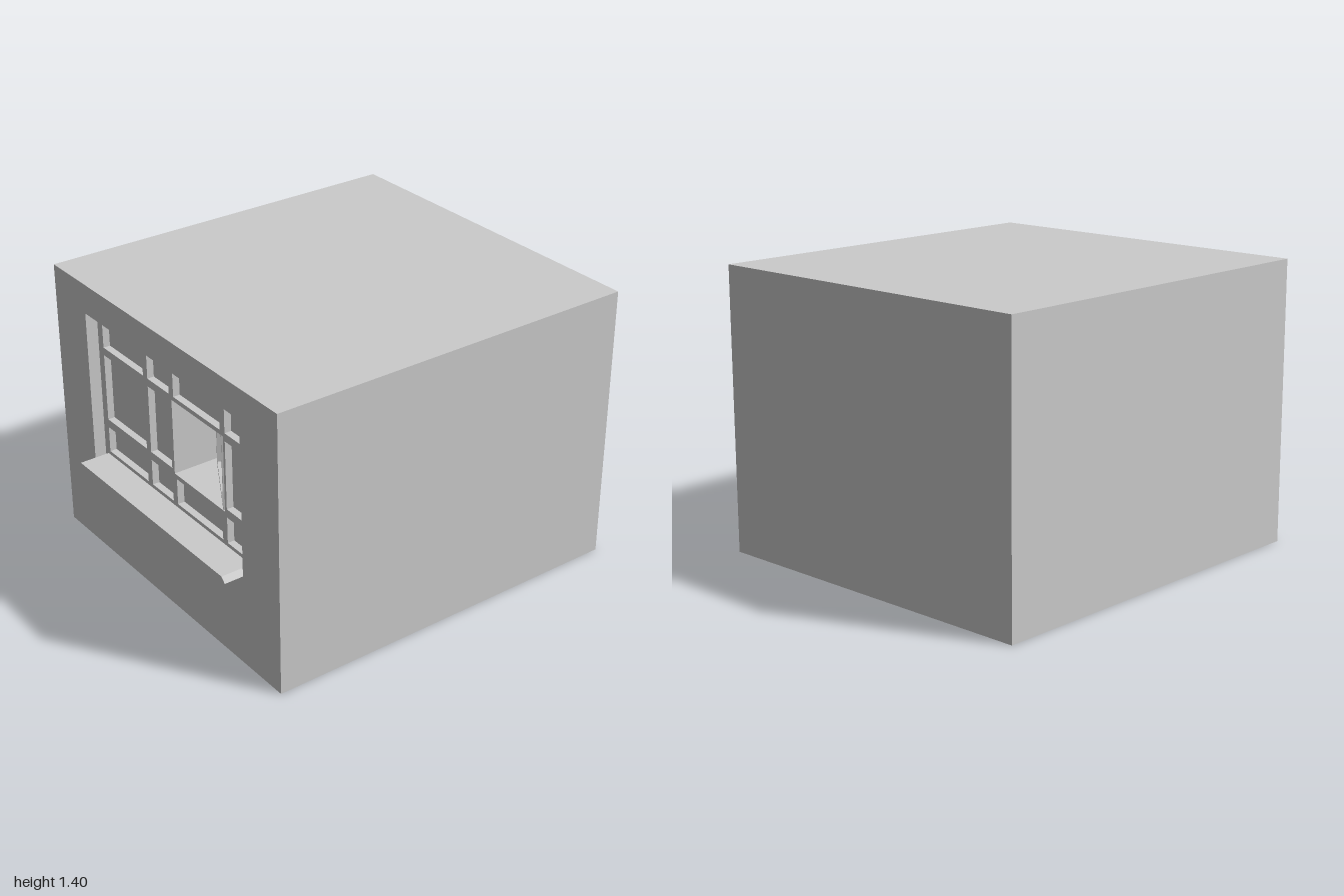
import * as THREE from 'three';

const material = new THREE.MeshStandardMaterial({ color: 0xcccccc, flatShading: true });

function add(parent, name, geometry) {
  const mesh = new THREE.Mesh(geometry, material);
  mesh.name = name;
  parent.add(mesh);
  return mesh;
}

// Rectangles are [x0, x1, y0, y1]
function trace(path, [x0, x1, y0, y1]) {
  return path.moveTo(x0, y0).lineTo(x1, y0).lineTo(x1, y1).lineTo(x0, y1).closePath();
}

// Flat face towards +z with rectangular holes
function face(rect, holes, z) {
  const shape = trace(new THREE.Shape(), rect);
  shape.holes = holes.map((h) => trace(new THREE.Path(), h));
  return new THREE.ShapeGeometry(shape).translate(0, 0, z);
}

// Box without its front; inward turns it into a recess, back closes it
function openBox([x0, x1, y0, y1], zBack, zFront, inward = false, back = true) {
  const g = new THREE.BoxGeometry(x1 - x0, y1 - y0, zFront - zBack);
  const index = Array.from(g.index.array);
  const kept = [...index.slice(0, 24), ...(back ? index.slice(30) : [])];
  g.clearGroups();
  g.setIndex(inward ? kept.reverse() : kept);
  if (inward) g.attributes.normal.array.forEach((v, i, a) => { a[i] = -v; });
  return g.translate((x0 + x1) / 2, (y0 + y1) / 2, (zBack + zFront) / 2);
}

export function createModel() {
  const model = new THREE.Group();
  model.name = 'windowBlock';

  const wallZ = 0.905, frameZ = 0.845, glassZ = 0.81;
  const body = [-0.9, 0.9, 0, 1.4];
  const opening = [-0.628, 0.625, 0.47, 1.25];
  const hole = [0, 0.408, 0.668, 1.05];

  // Block with the window opening in its front wall
  add(model, 'block', openBox(body, -1, wallZ));
  add(model, 'frontWall', face(body, [opening], wallZ));
  add(model, 'openingReveal', openBox(opening, frameZ, wallZ, true, false));

  // Grid of panes; the one at column 2, row 1 is an open casement
  const columns = [[-0.585, -0.237], [-0.2, -0.02], [0.016, 0.386], [0.422, 0.575]];
  const rows = [[0.512, 0.645], [0.688, 1.032], [1.072, 1.208]];
  const panes = [];
  columns.forEach((c, i) => rows.forEach((r, j) => {
    if (i !== 2 || j !== 1) panes.push([...c, ...r]);
  }));
  add(model, 'windowFrame', face(opening, [...panes, hole], frameZ));
  panes.forEach((p) => add(model, 'pane', openBox(p, glassZ, frameZ, true)));
  add(model, 'casementCavity', openBox(hole, 0.6, frameZ, true));

  // Casement hinged at its right edge and swung inwards by 30 degrees
  const casement = new THREE.Group();
  casement.name = 'openCasement';
  const h = hole[3] - hole[2], w = 0.405, m = 0.02, t = 0.034;
  const sash = [-w, 0, 0, h];
  const sashPane = [-w + m, -m, m, h - m];
  add(casement, 'sash', openBox(sash, -t, 0));
  add(casement, 'sashFrame', face(sash, [sashPane], 0));
  add(casement, 'sashPane', openBox(sashPane, -t + 0.002, 0, true));
  casement.position.set(0.391, hole[2], frameZ - 0.002);
  casement.rotation.y = -Math.PI / 6;
  model.add(casement);

  // Sill with bevelled ends, running out past the wall
  const profile = new THREE.Shape();
  profile.moveTo(-0.628, 0.468).lineTo(0.625, 0.468).lineTo(0.6, 0.493).lineTo(-0.603, 0.493).closePath();
  const sill = new THREE.ExtrudeGeometry(profile, { depth: 1 - frameZ, bevelEnabled: false });
  add(model, 'sill', sill.translate(0, 0, frameZ));

  return model;
}
